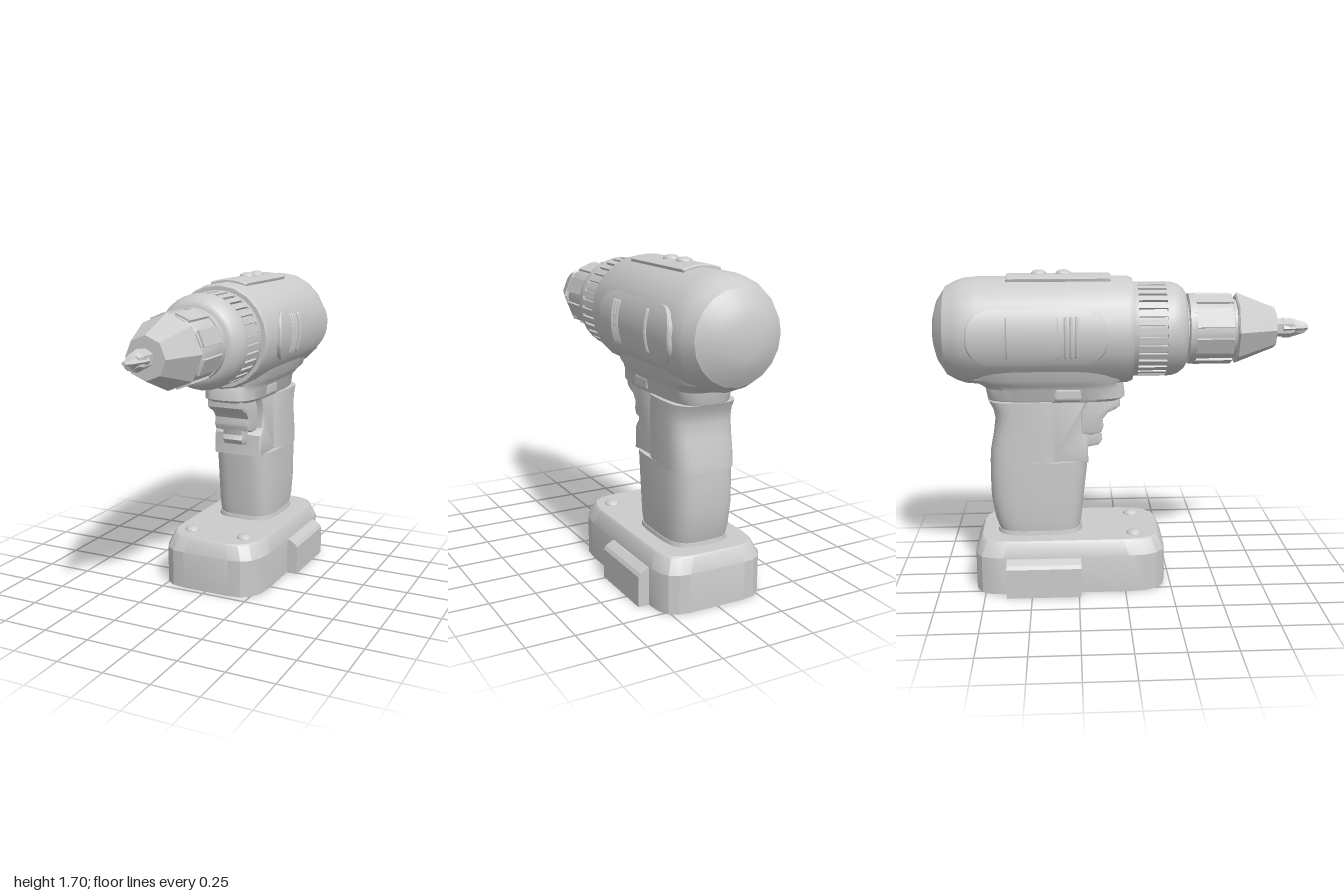
import * as THREE from 'three';
import { toCreasedNormals } from 'three/addons/utils/BufferGeometryUtils.js';
import { RoundedBoxGeometry } from 'three/addons/geometries/RoundedBoxGeometry.js';

const AXIS = 1.38; // height of the barrel axis
const mat = new THREE.MeshStandardMaterial({ color: 0xcccccc });
const V = (x, y, z) => new THREE.Vector3(x, y, z);

export function createModel() {
  const root = new THREE.Group();

  const add = (name, geo, x = 0, y = 0, z = 0, parent = root) => {
    const mesh = new THREE.Mesh(geo, mat);
    mesh.name = name;
    mesh.position.set(x, y, z);
    parent.add(mesh);
    return mesh;
  };

  // Closed skin over rings with equal point counts, capped at both ends
  const loft = (rings, crease = 0.6) => {
    const n = rings[0].length, pts = rings.flat(), idx = [];
    for (let r = 0; r < rings.length - 1; r++)
      for (let i = 0; i < n; i++) {
        const a = r * n + i, b = r * n + (i + 1) % n;
        idx.push(a, b, b + n, a, b + n, a + n);
      }
    const last = (rings.length - 1) * n, c = pts.length;
    for (const ring of [rings[0], rings[rings.length - 1]])
      pts.push(ring.reduce((s, p) => s.add(p), V(0, 0, 0)).divideScalar(n));
    for (let i = 0; i < n; i++) {
      const j = (i + 1) % n;
      idx.push(c, j, i, c + 1, last + i, last + j);
    }
    // turn the skin outward
    let volume = 0;
    for (let i = 0; i < idx.length; i += 3)
      volume += pts[idx[i]].dot(V(0, 0, 0).crossVectors(pts[idx[i + 1]], pts[idx[i + 2]]));
    if (volume < 0) idx.reverse();
    const g = new THREE.BufferGeometry().setFromPoints(pts);
    g.setIndex(idx);
    return toCreasedNormals(g, crease);
  };

  // Turned part along z, profile of [radius, z] from back to front
  const turned = (profile, sides, crease = 0.6) => toCreasedNormals(
    new THREE.LatheGeometry(profile.map(p => new THREE.Vector2(...p)), sides).rotateX(Math.PI / 2), crease);

  // Rounded horizontal section: back and front z, half width, squareness
  const section = (y, z0, z1, w, e = 0.55, n = 32) => Array.from({ length: n }, (_, i) => {
    const t = i / n * Math.PI * 2, c = Math.cos(t), s = Math.sin(t);
    return V(Math.sign(c) * Math.abs(c) ** e * w, y,
      (z0 + z1) / 2 + Math.sign(s) * Math.abs(s) ** e * (z1 - z0) / 2);
  });

  // Plate wrapped around the barrel, centred on an angle, with round corners
  const curvedPlate = (angle, half, z0, z1, rIn, rOut, corner) => {
    const rings = [], n = 20;
    for (let i = 0; i <= n; i++) {
      const u = -half * Math.cos(i / n * Math.PI), t = angle + u / rOut;
      const d = Math.max(0, corner - (half - Math.abs(u)));
      const inset = corner - Math.sqrt(Math.max(0, corner * corner - d * d));
      const at = (r, z) => V(Math.cos(t) * r, Math.sin(t) * r, z);
      rings.push([at(rIn, z0 + inset), at(rOut - 0.006, z0 + inset), at(rOut, z0 + inset + 0.008),
        at(rOut, z1 - inset - 0.008), at(rOut - 0.006, z1 - inset), at(rIn, z1 - inset)]);
    }
    return loft(rings);
  };

  // Side profile of [z, y] points given a width across x
  const sideExtrude = (points, width) => {
    const shape = new THREE.Shape(points.map(p => new THREE.Vector2(...p)));
    const b = 0.012;
    const g = new THREE.ExtrudeGeometry(shape, { depth: width - 2 * b, bevelSize: b, bevelOffset: -b, bevelThickness: b, bevelSegments: 2 });
    return toCreasedNormals(g.translate(0, 0, b - width / 2).rotateY(-Math.PI / 2), 0.6);
  };

  const screw = (name, x, y, z) => {
    const g = new THREE.SphereGeometry(0.043, 14, 5, 0, Math.PI * 2, 0, Math.PI / 2);
    add(name, g.scale(1, 0.55, 1), x, y, z);
  };

  // Motor housing with domed end
  add('motorHousing', turned([[0, -1], [0.09, -0.995], [0.16, -0.975], [0.222, -0.935], [0.232, -0.93],
    [0.262, -0.875], [0.278, -0.83], [0.284, -0.76], [0.284, 0.02], [0.272, 0.048], [0, 0.05]], 20), 0, AXIS, 0);
  add('topPlate', curvedPlate(Math.PI / 2, 0.11, -0.61, -0.065, 0.26, 0.298, 0.01), 0, AXIS, 0);
  for (const z of [-0.31, -0.44]) screw('topScrew', 0, AXIS + 0.294, z);

  // Side pads with raised panel and vent ribs
  for (const a of [0, Math.PI]) {
    const pad = new THREE.Group();
    pad.name = 'sidePad';
    pad.position.y = AXIS;
    root.add(pad);
    add('padBase', curvedPlate(a, 0.15, -0.81, -0.09, 0.26, 0.3, 0.13), 0, 0, 0, pad);
    add('padPanel', curvedPlate(a, 0.112, -0.607, -0.34, 0.27, 0.311, 0.01), 0, 0, 0, pad);
    for (const z of [-0.247, -0.275, -0.303])
      add('ventRib', curvedPlate(a, 0.112, z - 0.009, z + 0.009, 0.27, 0.308, 0.005), 0, 0, 0, pad);
  }

  // Torque collar and its grip ribs
  add('collar', turned([[0, 0.03], [0.246, 0.04], [0.25, 0.05], [0.25, 0.073], [0.237, 0.075], [0.237, 0.22],
    [0.25, 0.222], [0.249, 0.255], [0.238, 0.29], [0.215, 0.32], [0.195, 0.332], [0, 0.332]], 32), 0, AXIS, 0);
  for (let i = 0; i < 34; i++) {
    const t = i / 34 * Math.PI * 2;
    add('collarRib', new THREE.BoxGeometry(0.03, 0.026, 0.15),
      Math.sin(t) * 0.237, AXIS + Math.cos(t) * 0.237, 0.147).rotation.z = -t;
  }

  // Chuck: neck, ribbed sleeve, faceted nose
  add('chuckNeck', turned([[0, 0.3], [0.155, 0.3], [0.155, 0.62], [0, 0.62]], 24), 0, AXIS, 0);
  add('chuckSleeve', turned([[0, 0.342], [0.172, 0.342], [0.18, 0.35], [0.18, 0.57], [0.172, 0.582], [0, 0.582]], 24), 0, AXIS, 0);
  add('chuckSleeveBand', turned([[0.17, 0.343], [0.188, 0.346], [0.188, 0.382], [0.17, 0.385]], 24), 0, AXIS, 0);
  for (let i = 0; i < 8; i++) {
    const t = (i + 0.5) / 8 * Math.PI * 2;
    add('chuckRib', new THREE.BoxGeometry(0.085, 0.03, 0.2),
      Math.sin(t) * 0.17, AXIS + Math.cos(t) * 0.17, 0.476).rotation.z = -t;
  }
  add('chuckNose', turned([[0, 0.598], [0.18, 0.598], [0.19, 0.606], [0.108, 0.815], [0, 0.815]], 8, 0.1), 0, AXIS, 0);

  // Screwdriver bit: hexagonal shank and a fluted tip
  add('bitShank', turned([[0, 0.8], [0.048, 0.8], [0.05, 0.9], [0.038, 0.925], [0, 0.925]], 6, 0.1), 0, AXIS, 0);
  const star = (z, r, inner) => Array.from({ length: 8 }, (_, i) => {
    const t = i / 8 * Math.PI * 2, q = i % 2 ? inner : r;
    return V(Math.cos(t) * q, Math.sin(t) * q, z);
  });
  add('bitTip', loft([star(0.86, 0.054, 0.045), star(0.9, 0.054, 0.034), star(0.98, 0.03, 0.013), star(1, 0.013, 0.007)], 0.1), 0, AXIS, 0);

  // Neck flaring from the grip into the housing
  add('neck', loft([section(1.015, -0.72, -0.01, 0.15), section(1.03, -0.725, 0.012, 0.16),
    section(1.085, -0.735, 0.005, 0.165), section(1.11, -0.77, -0.005, 0.18),
    section(1.14, -0.84, 0.01, 0.2), section(1.25, -0.88, 0.02, 0.22)]));

  // Grip: full depth below, cut back above for the trigger
  add('grip', loft([section(0.3, -0.68, -0.237, 0.165), section(0.36, -0.7, -0.228, 0.172),
    section(0.48, -0.72, -0.215, 0.175), section(0.6, -0.722, -0.2, 0.175), section(0.69, -0.72, -0.19, 0.175)]));
  add('upperGrip', loft([section(0.68, -0.72, -0.335, 0.175), section(0.75, -0.715, -0.335, 0.175),
    section(0.84, -0.697, -0.335, 0.175), section(0.92, -0.686, -0.335, 0.175),
    section(0.97, -0.695, -0.335, 0.175), section(1.02, -0.722, -0.335, 0.175)]));
  add('gripFoot', loft([section(0.27, -0.69, -0.225, 0.175), section(0.306, -0.685, -0.23, 0.17)]));
  add('triggerHousing', sideExtrude([[-0.4, 0.68], [-0.19, 0.68], [-0.195, 0.8], [-0.225, 0.84],
    [-0.225, 0.95], [-0.19, 1.03], [-0.4, 1.03]], 0.29));

  // Trigger with finger hollow, and the narrower piece beneath
  add('trigger', sideExtrude([[-0.25, 0.83], [-0.17, 0.825], [-0.118, 0.84], [-0.107, 0.87], [-0.112, 0.91],
    [-0.085, 0.945], [-0.04, 0.965], [-0.018, 0.985], [-0.018, 1.03], [-0.25, 1.03]], 0.21));
  add('triggerLower', sideExtrude([[-0.25, 0.72], [-0.19, 0.745], [-0.135, 0.755], [-0.112, 0.785],
    [-0.125, 0.81], [-0.115, 0.85], [-0.25, 0.85]], 0.12));

  // Direction selector buttons
  for (const s of [-1, 1])
    add('directionSelector', new RoundedBoxGeometry(0.055, 0.085, 0.16, 3, 0.026), s * 0.14, 1.06, -0.297);

  // Battery pack with rounded corners and bevelled top
  const packRing = (y, inset) => {
    const w = 0.295 - inset, f = 0.22 - inset, b = -0.805 + inset;
    const corner = (x0, z0, cx, cz, x1, z1) => [0, 0.25, 0.5, 0.75, 1].map(t => {
      const u = 1 - t;
      return V(u * u * x0 + 2 * u * t * cx + t * t * x1, y, u * u * z0 + 2 * u * t * cz + t * t * z1);
    });
    return [
      ...corner(w, f - 0.2, w, f, w - 0.16, f), ...corner(-w + 0.16, f, -w, f, -w, f - 0.2),
      ...corner(-w, b + 0.15, -w, b, -w + 0.14, b), ...corner(w - 0.14, b, w, b, w, b + 0.15)];
  };
  add('batteryPack', loft([packRing(0, 0), packRing(0.205, 0), packRing(0.276, 0.028), packRing(0.285, 0.036)], 0.4));
  for (const s of [-1, 1]) {
    screw('batteryScrew', s * 0.16, 0.283, 0.055);
    // Release clip on the side of the pack
    const clip = new THREE.Shape([[0.24, 0], [0.355, 0], [0.355, 0.16], [0.343, 0.178], [0.305, 0.2], [0.24, 0.2]]
      .map(([x, y]) => new THREE.Vector2(s * x, y)));
    add('releaseClip', new THREE.ExtrudeGeometry(clip, { depth: 0.395, bevelEnabled: false }), 0, 0, -0.633);
  }
  return root;
}
